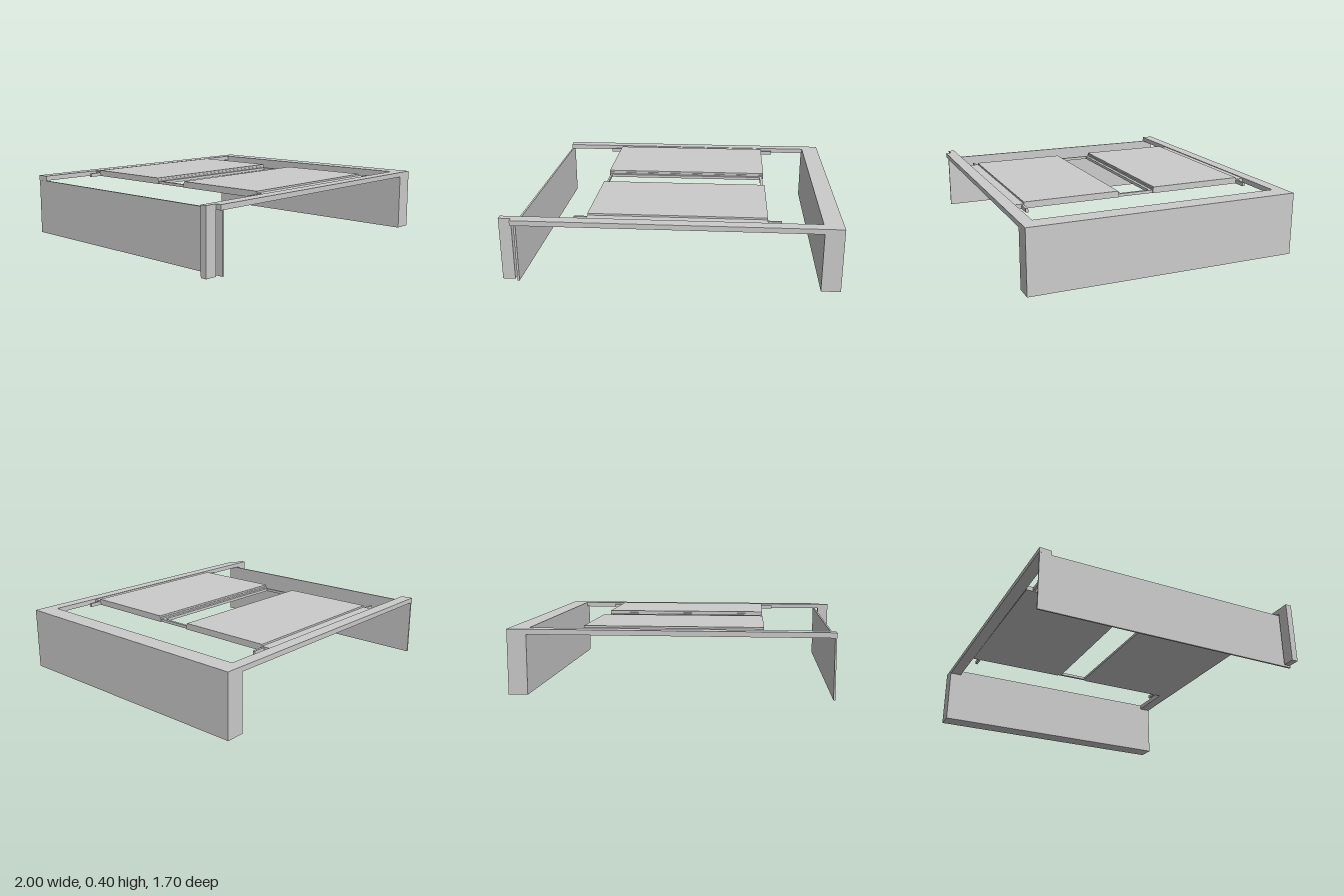
import * as THREE from 'three';

const material = new THREE.MeshStandardMaterial({ color: 0xcccccc, flatShading: true });

// Box given by its lower and upper bounds on each axis
function block(name, [x0, x1], [y0, y1], [z0, z1]) {
  const geometry = new THREE.BoxGeometry(x1 - x0, y1 - y0, z1 - z0);
  geometry.translate((x0 + x1) / 2, (y0 + y1) / 2, (z0 + z1) / 2);
  const mesh = new THREE.Mesh(geometry, material);
  mesh.name = name;
  return mesh;
}

// Upright slab from a floor plan of [x, z] corners
function slab(name, plan, y0, y1) {
  const shape = new THREE.Shape(plan.map(([x, z]) => new THREE.Vector2(x, -z)));
  const geometry = new THREE.ExtrudeGeometry(shape, { depth: y1 - y0, bevelEnabled: false });
  geometry.rotateX(-Math.PI / 2);
  geometry.translate(0, y0, 0);
  const mesh = new THREE.Mesh(geometry, material);
  mesh.name = name;
  return mesh;
}

export function createModel() {
  const model = new THREE.Group();
  model.name = 'bridgeFrame';
  const top = 0.388, under = 0.357;

  // Side walls: a thick one, and a thin one set slightly askew
  model.add(block('thickWall', [0.885, 1], [0, top], [-0.845, 0.845]));
  model.add(slab('thinWall', [[-0.905, 0.835], [-0.893, 0.835], [-0.886, -0.848], [-0.896, -0.848]], 0, under));
  model.add(block('cornerPost', [-1, -0.925], [0, top], [0.77, 0.81]));

  // Long rails joining the walls
  model.add(block('frontRail', [-0.925, 0.885], [under, top], [0.77, 0.845]));
  model.add(slab('backRail', [[-0.893, -0.775], [0.885, -0.77], [0.885, -0.845], [-0.898, -0.85]], under, top));

  // Two deck panels, each a base plate with a raised cover and end brackets
  for (const side of [1, -1]) {
    const span = (a, b) => (side > 0 ? [a, b] : [-b, -a]);
    const panel = new THREE.Group();
    panel.name = side > 0 ? 'frontPanel' : 'backPanel';
    panel.add(block('basePlate', [-0.49, 0.57], [under, 0.385], span(0.115, 0.77)));
    panel.add(block('innerLip', [-0.47, 0.545], [under, 0.375], span(0.095, 0.115)));
    panel.add(block('cover', [-0.49, 0.57], [0.385, 0.396], span(0.12, 0.715)));
    panel.add(block('bracketA', [-0.57, -0.49], [under, 0.38], span(0.715, 0.73)));
    panel.add(block('bracketB', [0.57, 0.65], [under, 0.38], span(0.715, 0.73)));
    model.add(panel);
  }

  // Narrow bars closing the ends of the central opening
  model.add(block('openingBarA', [-0.482, -0.47], [under, 0.375], [-0.115, 0.115]));
  model.add(block('openingBarB', [0.545, 0.562], [under, 0.375], [-0.115, 0.115]));

  return model;
}
